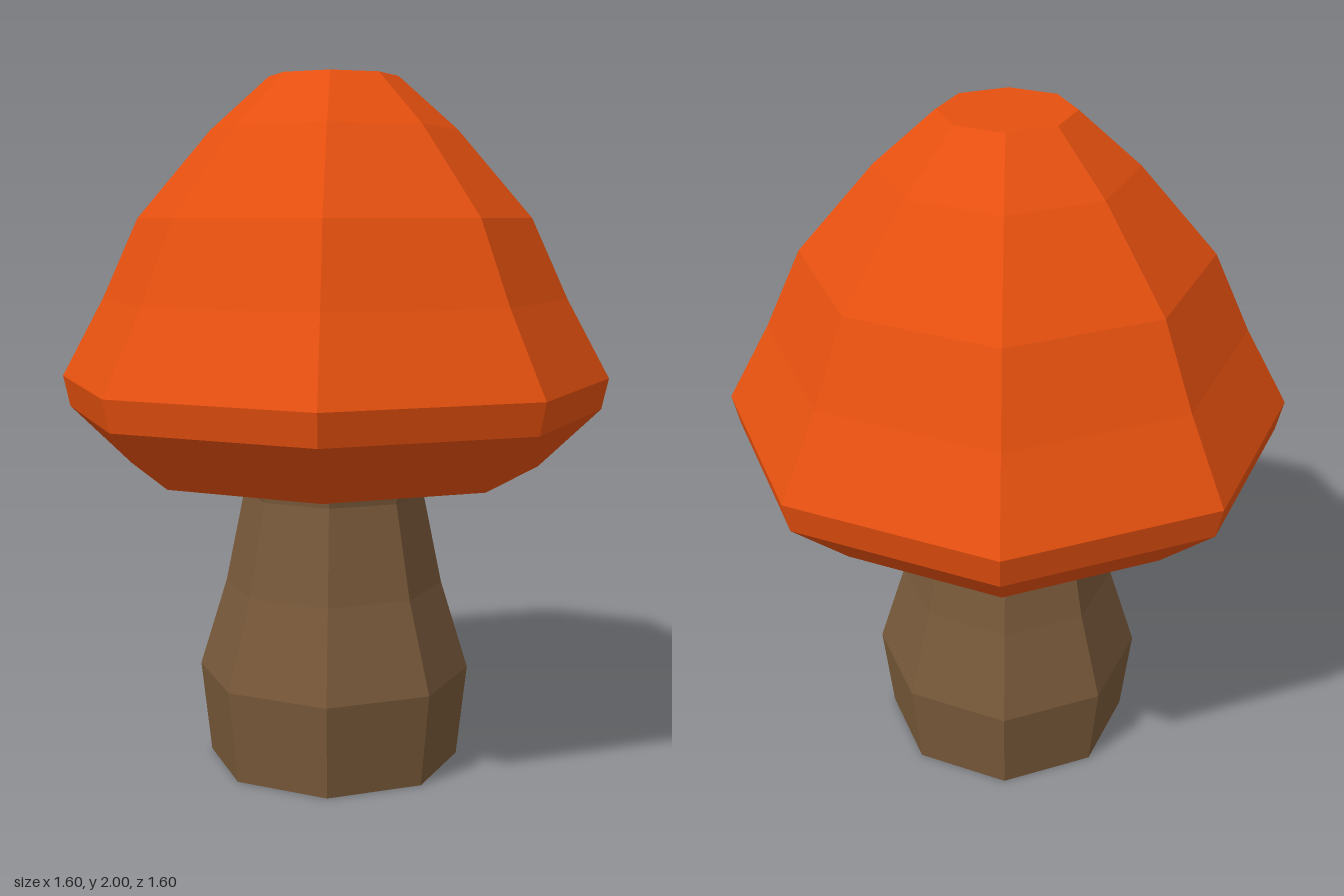
import * as THREE from 'three';

const SIDES = 8;

// Eight-sided faceted solid turned from [radius, height] pairs, bottom to top
function turned(name, color, profile) {
  const points = profile.map(([r, y]) => new THREE.Vector2(r, y));
  const material = new THREE.MeshStandardMaterial({ color, flatShading: true });
  const mesh = new THREE.Mesh(new THREE.LatheGeometry(points, SIDES), material);
  mesh.name = name;
  return mesh;
}

export function createModel() {
  const group = new THREE.Group();
  group.name = 'mushroom';

  // Stem: bulging foot, narrow neck, flaring again inside the cap
  group.add(turned('stem', 0x78593a, [
    [0, 0], [0.37, 0], [0.4, 0.27], [0.32, 0.53],
    [0.265, 0.8], [0.275, 0.88], [0.295, 1.03], [0, 1.03],
  ]));

  // Cap: hollowed underside, bevelled rim, domed sides and flat crown
  group.add(turned('cap', 0xe6500f, [
    [0, 1.02], [0.28, 1.02], [0.6, 0.88], [0.78, 1.05], [0.8, 1.14],
    [0.675, 1.37], [0.57, 1.6], [0.355, 1.85], [0.185, 2], [0, 2],
  ]));

  return group;
}
